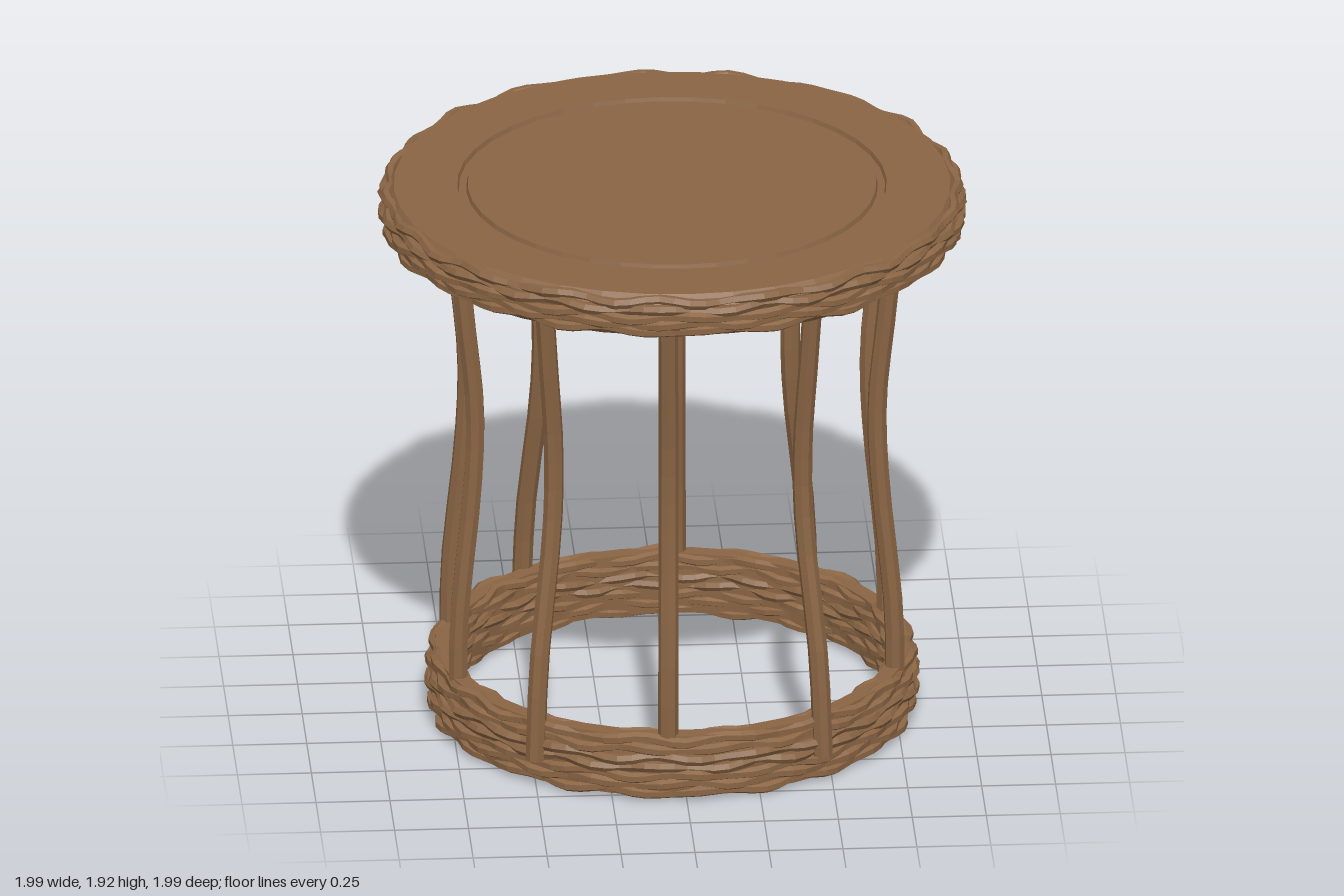
import * as THREE from 'three';

const V = (x, y) => new THREE.Vector2(x, y);

// One woven strand: a closed loop that weaves in and out around the y axis
function strandGeometry(radius, y, phase, thick, waves) {
  const pts = [];
  const steps = waves * 5;
  for (let i = 0; i < steps; i++) {
    const a = (i / steps) * Math.PI * 2;
    const r = radius + 0.011 * Math.sin(waves * a + phase);
    const h = y + 0.007 * Math.sin((waves - 7) * a + phase * 2.3);
    pts.push(new THREE.Vector3(Math.sin(a) * r, h, Math.cos(a) * r));
  }
  const curve = new THREE.CatmullRomCurve3(pts, true);
  return new THREE.TubeGeometry(curve, steps, thick, 6, true);
}

// A band of stacked strands that bulges at mid height
function wovenBand(name, rows, y0, y1, radius, bulge, thick, waves, material) {
  const band = new THREE.Group();
  band.name = name;
  for (let i = 0; i < rows; i++) {
    const t = i / (rows - 1);
    const r = radius + bulge * Math.sin(Math.PI * t);
    const phase = (i % 2) * Math.PI + i * 0.35;
    const y = THREE.MathUtils.lerp(y0, y1, t);
    const mesh = new THREE.Mesh(strandGeometry(r, y, phase, thick, waves), material);
    mesh.name = name + 'Strand';
    band.add(mesh);
  }
  return band;
}

// A cane leg: a cylinder bent along a radial profile, pinched at the waist
function legGeometry(angle, bottomY, bottomR) {
  const top = 1.79;
  const profile = new THREE.SplineCurve([
    V(bottomR, bottomY), V(THREE.MathUtils.lerp(bottomR, 0.765, 0.4), 0.45),
    V(0.725, 0.9), V(0.715, 1.2), V(0.745, 1.5), V(0.775, top),
  ]);
  const geo = new THREE.CylinderGeometry(0.033, 0.034, 1, 8, 14);
  const p = geo.attributes.position;
  for (let i = 0; i < p.count; i++) {
    const c = profile.getPoint(THREE.MathUtils.clamp(p.getY(i) + 0.5, 0, 1));
    p.setXYZ(i, p.getX(i), c.y, p.getZ(i) + c.x);
  }
  geo.rotateY(angle);
  geo.computeVertexNormals();
  return geo;
}

export function createModel() {
  const model = new THREE.Group();
  model.name = 'wickerStool';
  const wood = new THREE.MeshStandardMaterial({ color: 0x8a6544 });
  wood.name = 'brown cane';
  wood.flatShading = true;

  const add = (name, geo) => {
    const mesh = new THREE.Mesh(geo, wood);
    mesh.name = name;
    model.add(mesh);
  };

  // Round seat with a shallow ring groove
  add('seat', new THREE.LatheGeometry([
    V(0, 1.77), V(0.945, 1.77), V(0.968, 1.80), V(0.968, 1.885), V(0.94, 1.92),
    V(0.725, 1.92), V(0.72, 1.905), V(0.695, 1.905), V(0.69, 1.92), V(0, 1.92),
  ], 40));

  // Woven edge around the seat
  model.add(wovenBand('seatRim', 5, 1.792, 1.895, 0.956, 0.014, 0.019, 24, wood));

  // Base ring core with woven outside and inside
  add('baseCore', new THREE.LatheGeometry([
    V(0.735, 0.02), V(0.805, 0.015), V(0.815, 0.12), V(0.8, 0.232),
    V(0.745, 0.232), V(0.735, 0.12), V(0.735, 0.02),
  ], 40));
  model.add(wovenBand('baseOuter', 7, 0.026, 0.215, 0.798, 0.012, 0.019, 22, wood));
  model.add(wovenBand('baseInner', 7, 0.026, 0.215, 0.748, -0.006, 0.017, 22, wood));

  // Ten bent legs; the four diagonal ones end on the outside of the ring
  for (let i = 0; i < 10; i++) {
    let deg = i * 36;
    if (i % 5 === 0) deg -= 4.5;
    const outside = [1, 4, 6, 9].includes(i);
    if (outside) deg -= 1.5;
    add('leg', legGeometry(THREE.MathUtils.degToRad(deg), outside ? 0.1 : 0.13, outside ? 0.825 : 0.775));
  }
  return model;
}
